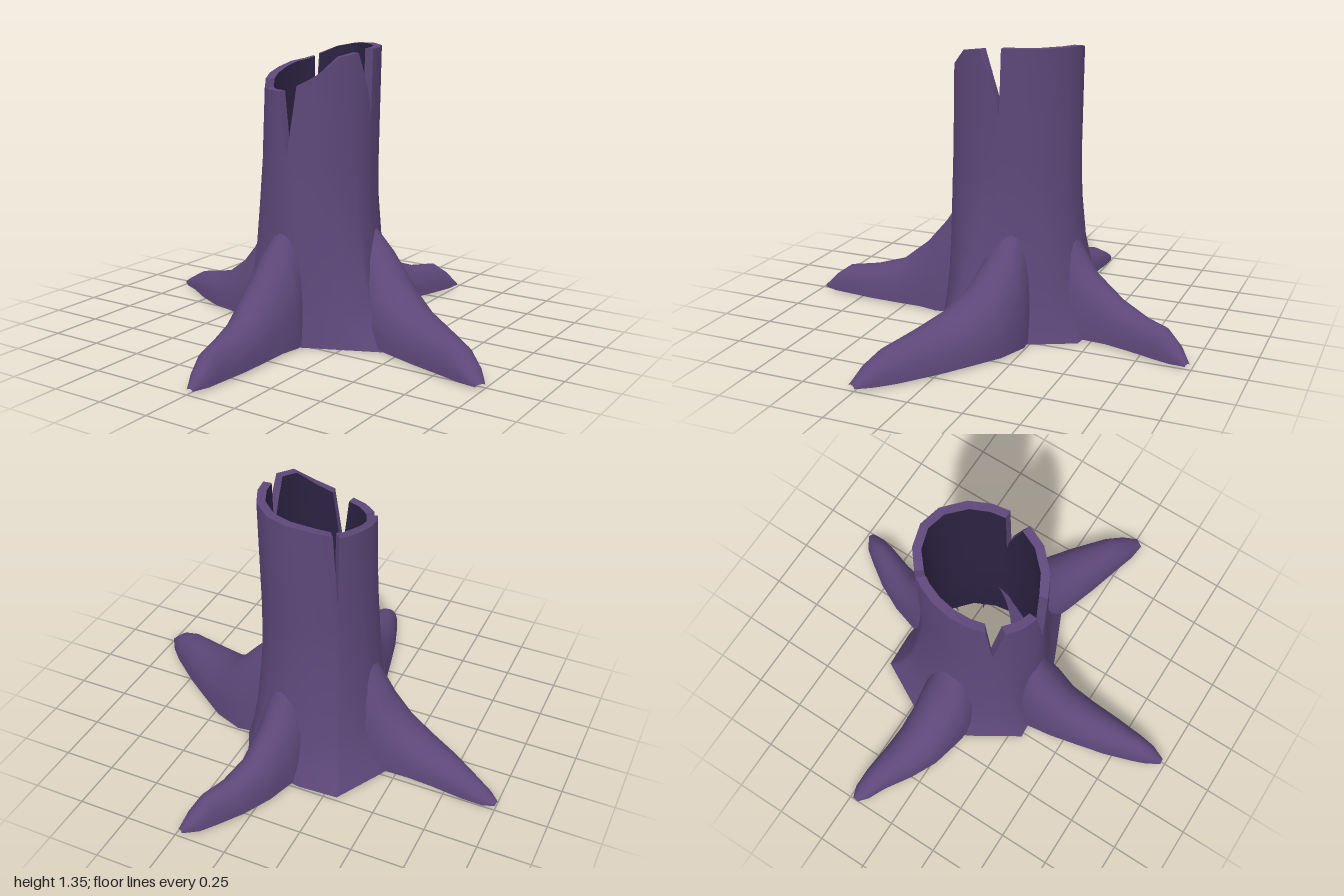
import * as THREE from 'three';
import { toCreasedNormals } from 'three/addons/utils/BufferGeometryUtils.js';

const BASE = 0.02;

// Linear lookup of one column in a table whose first column is the position
function lookup(table, p, col = 1) {
  for (let i = 1; i < table.length; i++) {
    const a = table[i - 1], b = table[i];
    if (p <= b[0]) return a[col] + (b[col] - a[col]) * Math.max(0, (p - a[0]) / (b[0] - a[0]));
  }
  return table[table.length - 1][col];
}

// Smooth surface through rows of points, each row a closed loop or an open strip
function loft(rows, closed) {
  const n = rows[0].length, index = [];
  for (let i = 0; i < rows.length - 1; i++) {
    for (let j = 0; j < (closed ? n : n - 1); j++) {
      const k = (j + 1) % n;
      const a = i * n + j, b = i * n + k, c = a + n, d = b + n;
      index.push(a, b, c, b, d, c);
    }
  }
  const geo = new THREE.BufferGeometry();
  geo.setAttribute('position', new THREE.Float32BufferAttribute(rows.flat(2), 3));
  geo.setIndex(index);
  geo.computeVertexNormals();
  return geo;
}

// Jagged top edge: angle from +x toward +z, height (deep dips are the splits)
const crown = [
  [0, 1.14], [10, 1.25], [20, 1.36], [42, 1.345], [62, 1.27], [80, 1.22], [88, 0.89],
  [97, 1.19], [112, 1.19], [127, 1.19], [139, 0.93], [144, 1.22], [160, 1.24], [180, 1.26],
  [200, 1.28], [218, 1.29], [226, 1.3], [229, 0.95], [232, 1.31], [250, 1.345], [270, 1.365],
  [290, 1.37], [315, 1.37], [338, 1.37], [356, 1.37], [357, 1.06],
];

// Angular outline of the foot: angle, x, z
const foot = [
  [0, 0.35, -0.06], [20, 0.43, 0.12], [80, 0.07, 0.28], [127, -0.27, 0.31], [160, -0.42, 0.07],
  [200, -0.45, -0.22], [232, -0.31, -0.48], [250, -0.12, -0.49], [290, 0.17, -0.45],
  [338, 0.27, -0.25], [360, 0.35, -0.06],
];

// How much of the foot outline is mixed in at each height
const flare = [[BASE, 1], [0.12, 0.7], [0.25, 0.45], [0.45, 0.24], [0.65, 0.1], [0.85, 0.03], [1.37, 0]];

// Slight lean of the trunk: height, centre x, centre z
const lean = [[BASE, -0.03, -0.065], [0.65, -0.035, -0.058], [1.3, -0.025, -0.075]];

function trunkPoint(deg, y, inset) {
  const t = THREE.MathUtils.degToRad(deg), c = Math.cos(t), s = Math.sin(t);
  const r = 1 / Math.hypot(c / (0.255 - inset), s / (0.307 - inset));
  const mix = inset ? 0 : lookup(flare, y);
  return [
    THREE.MathUtils.lerp(lookup(lean, y, 1) + r * c, lookup(foot, deg, 1), mix),
    y,
    THREE.MathUtils.lerp(lookup(lean, y, 2) + r * s, lookup(foot, deg, 2), mix),
  ];
}

const ring = (y, inset) => crown.map(([deg]) => trunkPoint(deg, y, inset));
const crownRing = (inset) => crown.map(([deg, h]) => trunkPoint(deg, h, inset));

// Root: stations of [x, z, half width, ridge height] swept with an open, full arch
function rootGeometry(stations) {
  const low = 0.03;
  const rows = stations.map(([x, z, w, h], i) => {
    const p = stations[Math.max(0, i - 1)], q = stations[Math.min(stations.length - 1, i + 1)];
    const dx = q[0] - p[0], dz = q[1] - p[1], len = Math.hypot(dx, dz);
    const row = [];
    for (let k = 0; k <= 12; k++) {
      const t = (k / 12) * Math.PI, side = (w * Math.cos(t)) / len;
      const rise = Math.abs(Math.sin(t)) ** 0.85;
      row.push([x + dz * side, low + (h - low) * rise, z - dx * side]);
    }
    return row;
  });
  return loft(rows, false);
}

const roots = {
  rightRoot: [
    [-0.26, -0.08, 0.13, 0.58], [-0.32, -0.08, 0.15, 0.52], [-0.4, -0.085, 0.15, 0.38],
    [-0.48, -0.09, 0.14, 0.28], [-0.6, -0.105, 0.125, 0.19], [-0.72, -0.14, 0.1, 0.155],
    [-0.86, -0.19, 0.065, 0.12], [-0.95, -0.21, 0.045, 0.07], [-1.0, -0.22, 0.015, 0.04],
  ],
  leftRoot: [
    [0.18, -0.13, 0.11, 0.57], [0.28, -0.105, 0.155, 0.46], [0.4, -0.05, 0.165, 0.31],
    [0.52, 0.015, 0.15, 0.235], [0.67, 0.09, 0.125, 0.195], [0.84, 0.18, 0.085, 0.16],
    [0.92, 0.23, 0.06, 0.11], [0.985, 0.27, 0.025, 0.04],
  ],
  frontRoot: [
    [-0.045, 0.22, 0.12, 0.59], [-0.06, 0.3, 0.15, 0.47], [-0.06, 0.42, 0.13, 0.33],
    [-0.045, 0.55, 0.115, 0.225], [-0.03, 0.7, 0.095, 0.18], [-0.015, 0.84, 0.065, 0.16],
    [-0.005, 0.91, 0.048, 0.11], [0, 0.98, 0.015, 0.04],
  ],
  backRoot: [
    [0.01, -0.35, 0.115, 0.52], [0.015, -0.4, 0.125, 0.44], [0.03, -0.47, 0.115, 0.33],
    [0.055, -0.6, 0.1, 0.225], [0.105, -0.73, 0.085, 0.175], [0.165, -0.85, 0.065, 0.165],
    [0.2, -0.92, 0.05, 0.11], [0.235, -0.98, 0.015, 0.04],
  ],
};

export function createModel() {
  const bark = new THREE.MeshStandardMaterial({ color: 0x5d4779, side: THREE.DoubleSide });
  bark.name = 'purpleBark';
  const hollow = new THREE.MeshStandardMaterial({ color: 0x2c2242 });
  hollow.name = 'darkHollow';

  const model = new THREE.Group();
  model.name = 'hollowStump';
  const add = (name, geo, mat) => {
    const mesh = new THREE.Mesh(geo, mat);
    mesh.name = name;
    model.add(mesh);
  };

  // Trunk shell, from the crown down to the flared foot, open below
  const levels = [0.85, 0.65, 0.45, 0.25, 0.12, BASE];
  add('trunk', loft([crownRing(0), ...levels.map((y) => ring(y, 0))], true), bark);

  // Dark inner wall, widening downward, and the broken rim joining it to the shell
  const wall = 0.04;
  const inner = [ring(0.15, -0.01), ring(0.4, 0.025), ring(0.65, wall), ring(0.85, wall), crownRing(wall)];
  add('hollowWall', loft(inner, true), hollow);
  add('brokenRim', toCreasedNormals(loft([crownRing(wall), crownRing(0)], true), 0.3), bark);

  // Four spreading roots, hollow underneath
  for (const [name, stations] of Object.entries(roots)) add(name, rootGeometry(stations), bark);

  return model;
}
